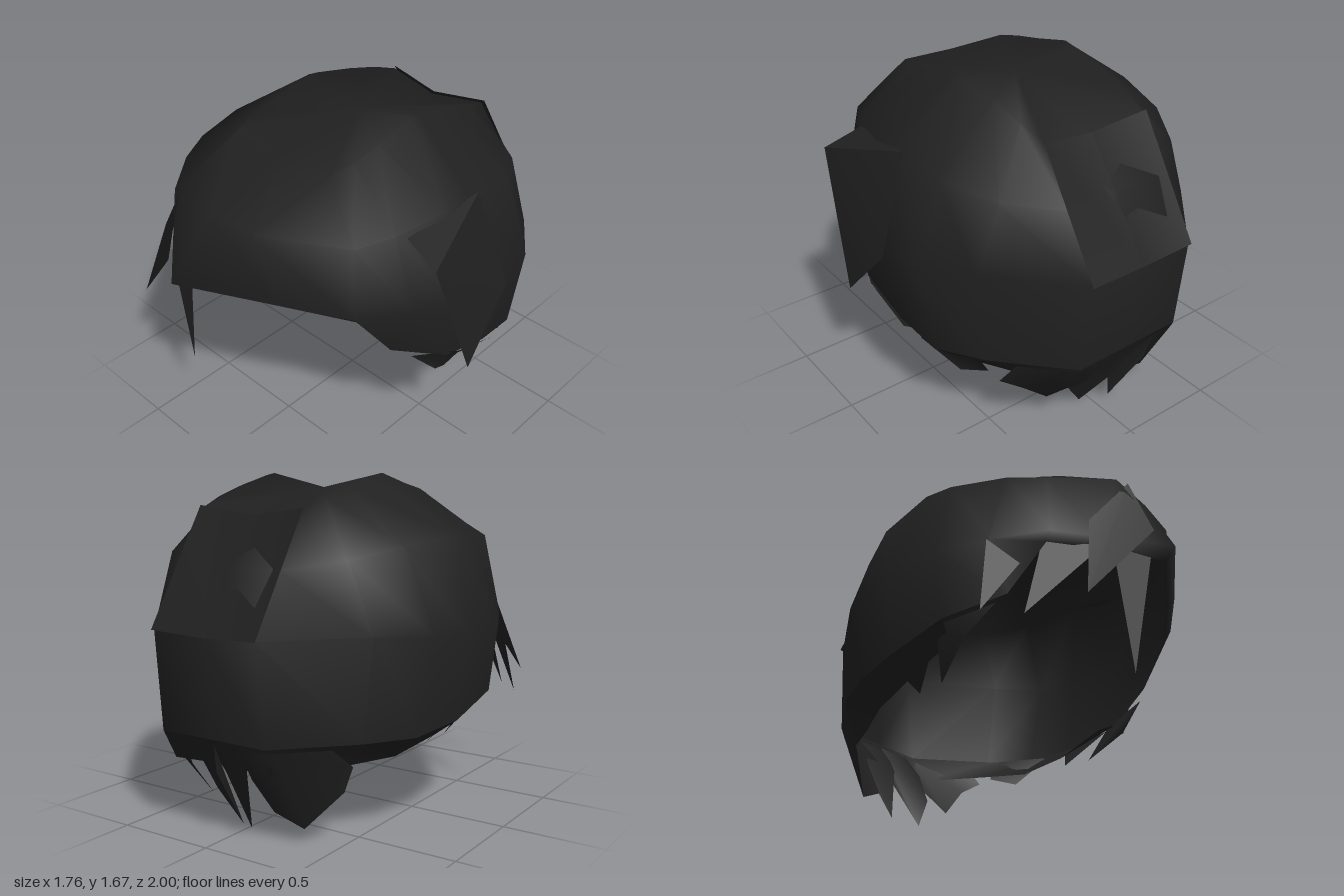
import * as THREE from 'three';

// Left half of each cross-section, front centre round to back centre
const RINGS = [
  // crown ridge
  [[0, 1.55, 0.48], [0.3, 1.57, 0.45], [0.33, 1.59, 0.34], [0.33, 1.62, 0.18], [0.33, 1.67, -0.04], [0.33, 1.66, -0.1], [0.32, 1.61, -0.32], [0.31, 1.56, -0.5], [0.29, 1.51, -0.64], [0, 1.47, -0.61]],
  // upper sides
  [[0, 1.36, 0.82], [0.27, 1.37, 0.8], [0.57, 1.34, 0.55], [0.65, 1.36, 0.38], [0.71, 1.38, 0.1], [0.71, 1.38, -0.05], [0.66, 1.34, -0.38], [0.52, 1.29, -0.62], [0.29, 1.26, -0.81], [0, 1.25, -0.79]],
  // widest level
  [[0, 1.02, 1.0], [0.36, 1.02, 0.77], [0.62, 1.01, 0.6], [0.75, 0.98, 0.36], [0.845, 0.95, 0.14], [0.845, 0.95, -0.16], [0.81, 0.96, -0.38], [0.64, 0.97, -0.61], [0.29, 0.97, -0.99], [0, 0.97, -0.98]],
  // hairline: high over the brow, low over the nape
  [[0, 0.98, 0.92], [0.34, 1.0, 0.72], [0.6, 0.97, 0.57], [0.66, 0.73, 0.4], [0.8, 0.62, 0.15], [0.79, 0.53, -0.15], [0.74, 0.49, -0.4], [0.6, 0.49, -0.62], [0.3, 0.49, -0.94], [0, 0.49, -0.94]],
];
// Lower edge of the band that tucks in under the nape
const BAND_EDGE = [[0.68, 0.56, 0.1], [0.67, 0.44, -0.15], [0.62, 0.38, -0.38], [0.48, 0.36, -0.58], [0.3, 0.34, -0.86], [0, 0.36, -0.87]];

const mirror = (points) => points.map(([x, y, z]) => [-x, y, z]).reverse();

// The front sweeps to one side and the sides lean slightly with it
function sweep([x, y, z]) {
  const lean = Math.abs(x) > 0.5 ? 0.035 * THREE.MathUtils.clamp((z + 0.38) / 0.3, 0, 1) : 0;
  return [x - lean - Math.max(0, z - 0.6) * 0.5, y, z];
}
const fullRing = (half) => [...half, ...mirror(half.slice(1, -1))].map(sweep);
const backArc = (half) => [...half, ...mirror(half.slice(0, -1))].map(sweep);

function makeGeometry(points, index) {
  const geometry = new THREE.BufferGeometry();
  geometry.setAttribute('position', new THREE.Float32BufferAttribute(points.flat(), 3));
  geometry.setIndex(index);
  geometry.computeVertexNormals();
  return geometry;
}

// Smooth shell lofted from the crown down to the hairline
function capGeometry() {
  const rings = RINGS.map(fullRing);
  const n = rings[0].length;
  const index = [];
  for (let j = 0; j < n; j++) {
    const k = (j + 1) % n;
    index.push(0, 1 + j, 1 + k);
    for (let r = 0; r < rings.length - 1; r++) {
      const a = 1 + r * n, b = a + n;
      index.push(a + j, b + j, b + k, a + j, b + k, a + k);
    }
  }
  return makeGeometry([[0, 1.6, -0.06], ...rings.flat()], index);
}

// Strip between two open rows of points
function stripGeometry(upper, lower) {
  const n = upper.length;
  const index = [];
  for (let j = 0; j < n - 1; j++) index.push(j, n + j, n + j + 1, j, n + j + 1, j + 1);
  return makeGeometry([...upper, ...lower], index);
}

// Flat lock of hair, a fan over its outline
function sheetGeometry(points) {
  const index = [];
  for (let i = 1; i < points.length - 1; i++) index.push(0, i, i + 1);
  return makeGeometry(points, index);
}

export function createModel() {
  const model = new THREE.Group();
  model.name = 'hair';
  const black = new THREE.MeshStandardMaterial({ color: 0x202020, side: THREE.DoubleSide });
  black.name = 'blackHair';

  const add = (name, geometry) => {
    const mesh = new THREE.Mesh(geometry, black);
    mesh.name = name;
    model.add(mesh);
  };

  add('cap', capGeometry());
  add('napeBand', stripGeometry(backArc(RINGS[3].slice(4)), backArc(BAND_EDGE)));

  // Broad plate of hair lying over the back of the crown
  add('backPlate', stripGeometry(
    [[0.3, 1.52, -0.65], [0, 1.48, -0.62], [-0.3, 1.52, -0.65]],
    [[0.3, 0.97, -1.0], [0, 0.96, -0.995], [-0.3, 0.97, -1.0]]));

  // Fringe spikes swept to the right of the brow
  const fringe = [
    [[-0.31, 1.37, 0.83], [-0.56, 1.06, 0.75], [-0.72, 0.6, 0.82], [-0.29, 1.08, 0.94]],
    [[-0.36, 1.02, 0.76], [-0.34, 0.37, 0.83], [-0.28, 0.95, 0.91]],
    [[-0.62, 1.0, 0.54], [-0.74, 0.58, 0.52], [-0.42, 1.0, 0.74]],
    [[-0.79, 0.98, 0.35], [-0.87, 0.58, 0.38], [-0.7, 0.86, 0.47]],
  ];
  fringe.forEach((p) => add('fringeSpike', sheetGeometry(p)));

  // Loose folded flap on the left side
  add('sideFlapTop', sheetGeometry([[0.64, 1.34, 0.33], [0.83, 1.27, 0.36], [0.68, 1.39, -0.12]]));
  add('sideFlap', sheetGeometry([[0.83, 1.27, 0.36], [0.88, 0.6, 0.13], [0.85, 0.92, -0.17], [0.68, 1.39, -0.12]]));

  // Short locks around each ear
  const sideLocks = [
    [[0.7, 0.7, 0.34], [0.74, 0.55, 0.2], [0.66, 0.4, 0.02], [0.79, 0.62, 0.08]],
    [[0.78, 0.6, 0.08], [0.64, 0.39, -0.12], [0.78, 0.52, -0.2]],
  ];
  for (const p of sideLocks) {
    add('leftSideLock', sheetGeometry(p));
    add('rightSideLock', sheetGeometry(mirror(p)));
  }
  add('leftRearLock', sheetGeometry([[0.75, 0.5, -0.3], [0.62, 0.33, -0.44], [0.54, 0.36, -0.56], [0.62, 0.49, -0.6]]));

  // Nape locks hang from the hairline and lean inward: x, y and a twist in z
  const nape = [
    [[-0.3, 0.47, 0], [-0.14, 0.47, 0], [-0.16, 0.31, 0], [-0.19, 0.13, 0.04], [-0.34, 0.07, 0], [-0.5, 0.25, 0], [-0.55, 0.38, 0], [-0.5, 0.47, 0]],
    [[-0.18, 0.47, 0], [0.04, 0.47, 0], [0.02, 0.32, 0.03], [-0.07, 0.03, -0.02], [-0.16, 0.31, -0.03]],
    [[0, 0.47, 0], [0.22, 0.47, 0], [0.19, 0.33, 0.07], [0.17, 0.17, 0.08], [0.05, 0, 0.05], [0.02, 0.32, -0.03]],
    [[0.3, 0.47, 0], [0.5, 0.47, 0], [0.53, 0.34, 0], [0.42, 0.27, 0.04], [0.25, 0.11, 0.12], [0.19, 0.33, 0], [0.17, 0.47, 0]],
  ];
  for (const outline of nape) {
    add('napeLock', sheetGeometry(outline.map(([x, y, twist]) =>
      [x, y, -0.94 + Math.max(0, Math.abs(x) - 0.3) * 1.05 + (0.49 - y) * 0.45 + twist])));
  }
  return model;
}
